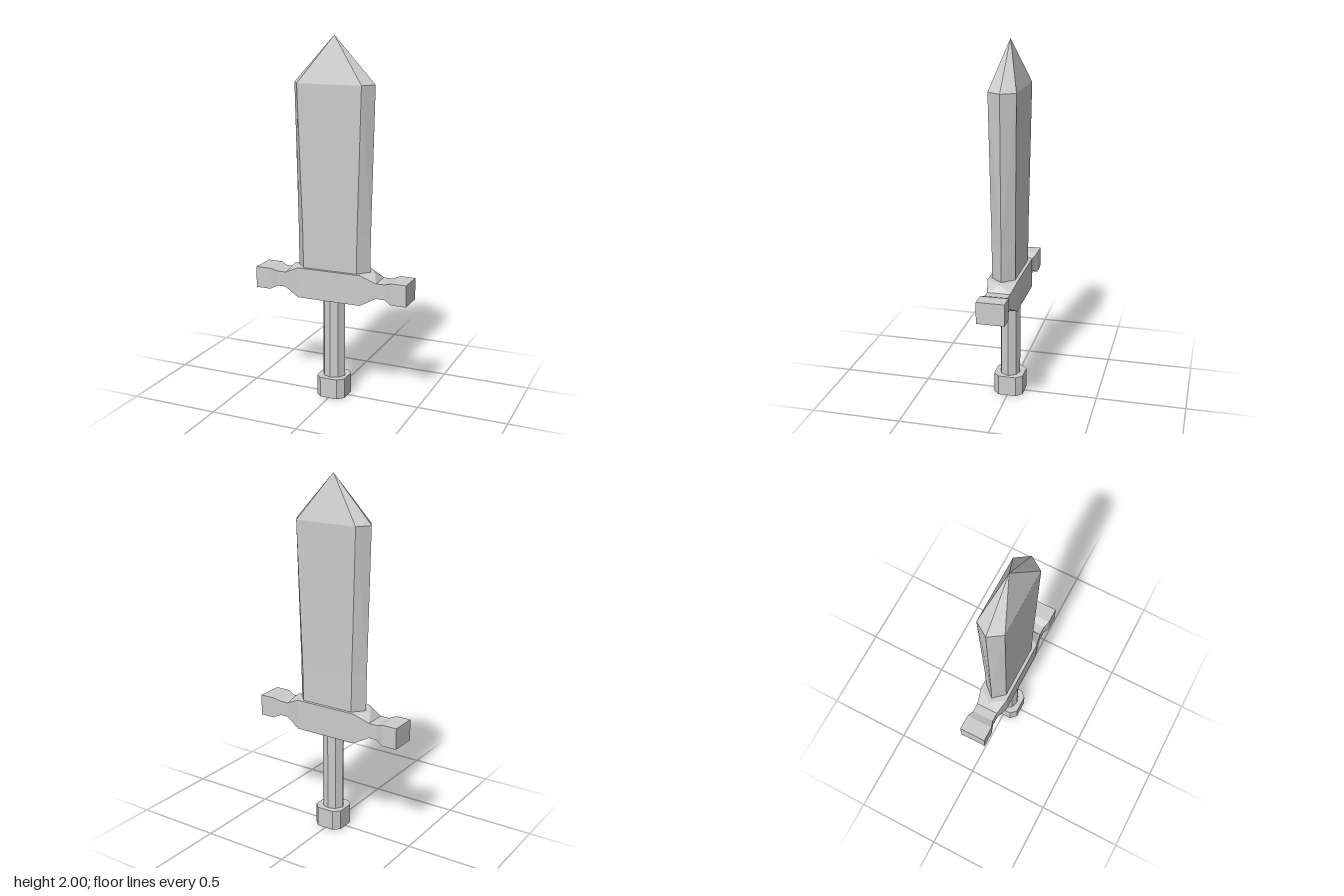
import * as THREE from 'three';
import { ConvexGeometry } from 'three/addons/geometries/ConvexGeometry.js';

const steel = new THREE.MeshStandardMaterial({ color: 0xcccccc });
steel.name = 'greySteel';

const V = (x, y, z) => new THREE.Vector3(x, y, z);

// Faceted solid spanning a set of corner points
function solid(name, points) {
  const mesh = new THREE.Mesh(new ConvexGeometry(points), steel);
  mesh.name = name;
  return mesh;
}

// Six-sided blade section: sharp edge at +-edge, flat face +-flat wide, half thickness t
const bladeSection = (y, edge, flat, t) => [
  V(edge, y, 0), V(flat, y, t), V(-flat, y, t),
  V(-edge, y, 0), V(-flat, y, -t), V(flat, y, -t),
];

// Points mirrored over the x and z planes at height y
const mirrored = (y, pairs) =>
  pairs.flatMap(([x, z]) => [V(x, y, z), V(-x, y, z), V(x, y, -z), V(-x, y, -z)]);

// Rectangular guard section at x
const guardSection = ([x, bottom, top, t]) => [
  V(x, bottom, t), V(x, bottom, -t), V(x, top, t), V(x, top, -t),
];

export function createModel() {
  const sword = new THREE.Group();
  sword.name = 'sword';

  // Blade: straight root, widening body, pointed tip
  const blade = new THREE.Group();
  blade.name = 'blade';
  const root = bladeSection(0.735, 0.213, 0.157, 0.064);
  const low = bladeSection(0.95, 0.215, 0.16, 0.065);
  const shoulder = bladeSection(1.75, 0.233, 0.184, 0.075);
  blade.add(
    solid('bladeRoot', [...root, ...low]),
    solid('bladeBody', [...low, ...shoulder]),
    solid('bladeTip', [...shoulder, V(0, 2, 0)]),
  );
  sword.add(blade);

  // Guard: centre block with a six-sided top, then neck, flare and end block on each side
  const guard = new THREE.Group();
  guard.name = 'guard';
  const neck = [0.27, 0.615, 0.7, 0.063];
  guard.add(solid('guardCentre', [
    ...mirrored(0.74, [[0.185, 0.082]]), V(0.243, 0.74, 0), V(-0.243, 0.74, 0),
    ...mirrored(0.57, [[0.185, 0.082]]),
    ...mirrored(neck[1], [[neck[0], neck[3]]]),
    ...mirrored(neck[2], [[neck[0], neck[3]]]),
  ]));
  const arm = [neck, [0.32, 0.615, 0.7, 0.063], [0.36, 0.595, 0.715, 0.076], [0.446, 0.595, 0.715, 0.076]];
  const armNames = ['guardNeck', 'guardFlare', 'guardEnd'];
  for (const side of [1, -1]) {
    const sections = arm.map(([x, ...rest]) => guardSection([side * x, ...rest]));
    armNames.forEach((name, i) =>
      guard.add(solid(name, [...sections[i], ...sections[i + 1]])));
  }
  sword.add(guard);

  // Eight-sided grip with ridges facing front and sides
  const gripRing = (y) => [
    V(0.066, y, 0), V(-0.066, y, 0), V(0, y, 0.057), V(0, y, -0.057),
    ...mirrored(y, [[0.042, 0.042]]),
  ];
  sword.add(solid('grip', [...gripRing(0.1), ...gripRing(0.58)]));

  // Eight-sided pommel with flats facing front and sides
  const pommelRing = (y) => mirrored(y, [[0.083, 0.05], [0.05, 0.083]]);
  sword.add(solid('pommel', [...pommelRing(0), ...pommelRing(0.115)]));

  return sword;
}
